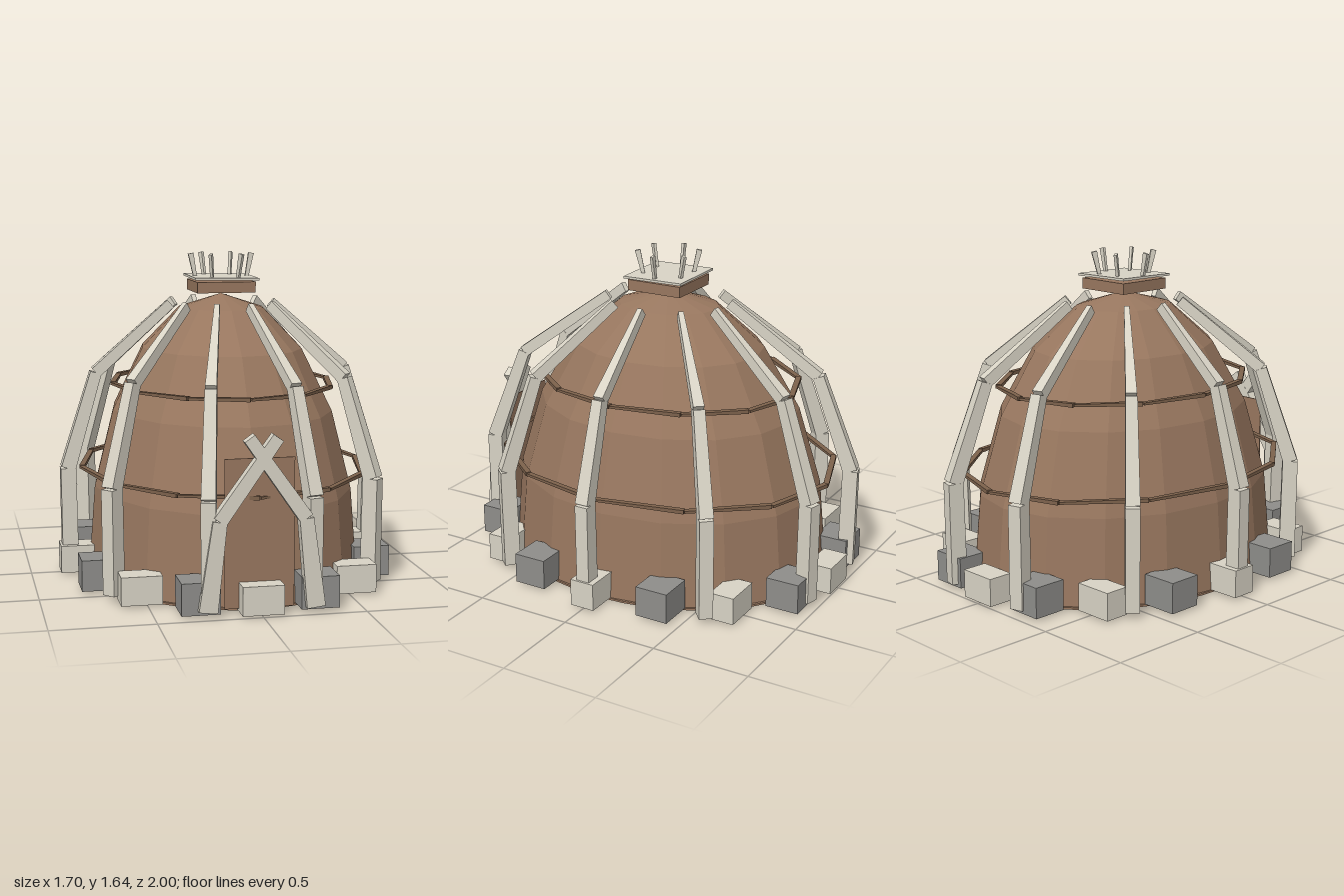
import * as THREE from 'three';

const paint = (color) => new THREE.MeshStandardMaterial({ color, flatShading: true });
const clay = paint(0x98775f);
const hide = paint(0x7d624c);
const bone = paint(0xd8d3c5);
const stone = paint(0x8e8d8a);
const V = (x, y, z) => new THREE.Vector3(x, y, z);

function add(parent, name, geometry, material, x = 0, y = 0, z = 0) {
  const mesh = new THREE.Mesh(geometry, material);
  mesh.name = name;
  mesh.position.set(x, y, z);
  parent.add(mesh);
  return mesh;
}

function subgroup(parent, name) {
  const g = new THREE.Group();
  g.name = name;
  parent.add(g);
  return g;
}

// Point on an ellipse; angle 0 is +x, 90 degrees is +z
const onEllipse = (angle, rx, rz, y) => V(rx * Math.cos(angle), y, rz * Math.sin(angle));

// Tapered beam from p to q; sizes are [width, depth] at each end, depth faces "out"
function beam(parent, name, material, p, q, out, size0, size1) {
  const dir = q.clone().sub(p);
  const geo = new THREE.BoxGeometry(1, dir.length(), 1);
  const pos = geo.attributes.position;
  for (let i = 0; i < pos.count; i++) {
    const [w, d] = pos.getY(i) < 0 ? size0 : size1;
    pos.setX(i, pos.getX(i) * w);
    pos.setZ(i, pos.getZ(i) * d);
  }
  geo.computeVertexNormals();
  const Y = dir.normalize();
  const Z = out.clone().addScaledVector(Y, -out.dot(Y)).normalize();
  const X = Y.clone().cross(Z);
  const mid = p.clone().add(q).multiplyScalar(0.5);
  const mesh = add(parent, name, geo, material, mid.x, mid.y, mid.z);
  mesh.quaternion.setFromRotationMatrix(new THREE.Matrix4().makeBasis(X, Y, Z));
  return mesh;
}

export function createModel() {
  const model = new THREE.Group();
  model.name = 'domedHut';

  // Oval dome and floor
  const dome = add(model, 'dome',
    new THREE.SphereGeometry(1, 16, 5, 0, Math.PI * 2, 0, Math.PI / 2), clay, 0, 0.005, 0);
  dome.scale.set(0.7, 1.43, 0.87);
  const floor = add(model, 'floor', new THREE.CylinderGeometry(1, 1, 0.01, 40), clay, 0, 0.005, 0);
  floor.scale.set(0.7, 1, 0.87);

  // Ten curved ribs, each of three beams
  const ribs = subgroup(model, 'ribs');
  const nodes = [[0.797, 0.98, 0.03], [0.803, 0.985, 0.55], [0.655, 0.8, 1.04], [0.265, 0.325, 1.385]];
  const sizes = [
    [[0.07, 0.082], [0.07, 0.078]],
    [[0.07, 0.075], [0.057, 0.058]],
    [[0.055, 0.058], [0.027, 0.05]],
  ];
  for (let i = 0; i < 10; i++) {
    const a = (i * Math.PI) / 5;
    const out = onEllipse(a, 0.8, 0.98, 0).normalize();
    const rib = subgroup(ribs, 'rib');
    sizes.forEach(([s0, s1], k) => {
      const p = onEllipse(a, ...nodes[k]);
      const q = onEllipse(a, ...nodes[k + 1]);
      beam(rib, ['ribFoot', 'ribMiddle', 'ribTip'][k], bone, p, q, out, s0, s1);
    });
  }

  // Two lashing hoops
  for (const [rx, rz, y] of [[0.73, 0.91, 0.55], [0.565, 0.705, 0.98]]) {
    const hoop = subgroup(model, 'lashingHoop');
    for (let i = 0; i < 12; i++) {
      const a = (i * Math.PI) / 6;
      const p = onEllipse(a, rx, rz, y);
      const q = onEllipse(a + Math.PI / 6, rx, rz, y);
      beam(hoop, 'hoopPiece', hide, p, q, V(0, 1, 0), [0.028, 0.02], [0.028, 0.012]);
    }
  }

  // Ring of foundation blocks, alternately pale and grey
  const blocks = subgroup(model, 'foundationBlocks');
  for (let i = 0; i < 16; i++) {
    const p = onEllipse((i * Math.PI) / 8, 0.75, 0.935, 0);
    if (i % 2) add(blocks, 'greyBlock', new THREE.BoxGeometry(0.185, 0.155, 0.173), stone, p.x, 0.09, p.z);
    else add(blocks, 'paleBlock', new THREE.BoxGeometry(0.2, 0.14, 0.13), bone, p.x, 0.08, p.z);
  }

  // Doorway panel with crossed poles
  add(model, 'doorPanel', new THREE.BoxGeometry(0.335, 0.715, 0.006), clay, 0, 0.38, 0.905);
  const poles = subgroup(model, 'doorPoles');
  for (const s of [-1, 1]) {
    const knee = V(s * 0.205, 0.46, 0.965);
    beam(poles, 'doorPost', bone, V(s * 0.258, 0.03, 0.95), knee, V(0, 0, 1), [0.09, 0.06], [0.068, 0.055]);
    beam(poles, 'crossedPole', bone, knee, V(s * -0.068, 0.845, 0.97), V(0, 0, 1), [0.068, 0.055], [0.058, 0.05]);
  }

  // Smoke hole collar, plate and splayed spikes
  const crown = subgroup(model, 'smokeHole');
  add(crown, 'collar', new THREE.BoxGeometry(0.3, 0.055, 0.3), clay, 0, 1.473, 0);
  const plate = add(crown, 'plate', new THREE.BoxGeometry(0.33, 0.012, 0.33), bone, 0, 1.518, 0);
  plate.rotation.set(0.015, 0, -0.015);
  for (let i = 0; i < 6; i++) {
    const a = (i * Math.PI) / 3;
    beam(crown, 'spike', bone, onEllipse(a, 0.135, 0.125, 1.52), onEllipse(a, 0.158, 0.155, 1.64),
      onEllipse(a, 1, 1, 0), [0.015, 0.018], [0.015, 0.028]);
  }
  return model;
}
